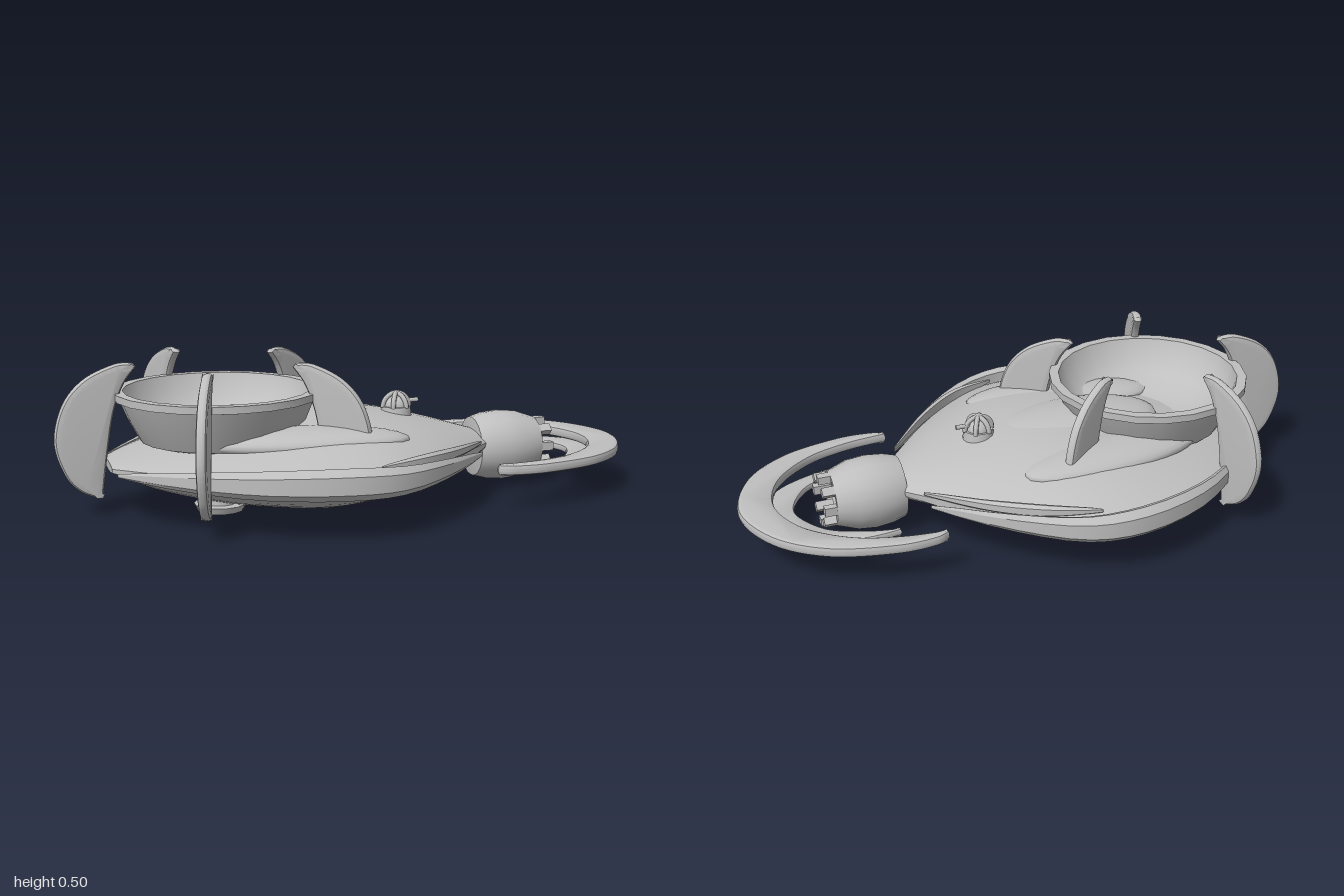
import * as THREE from 'three';
import { toCreasedNormals, mergeGeometries } from 'three/addons/utils/BufferGeometryUtils.js';

const V3 = (p) => new THREE.Vector3(...p);
const V2 = (p) => new THREE.Vector2(...p);

// Skin over closed rings of [x, y, z], capped at both ends
function loft(rings, crease = 0.6) {
  const n = rings[0].length, pos = rings.flat(2), idx = [];
  for (let i = 0; i < rings.length - 1; i++) {
    for (let j = 0; j < n; j++) {
      const a = i * n + j, b = i * n + (j + 1) % n;
      idx.push(a, a + n, b + n, a, b + n, b);
    }
  }
  const last = (rings.length - 1) * n;
  for (let j = 1; j < n - 1; j++) {
    idx.push(0, j, j + 1, last, last + j + 1, last + j);
  }
  const g = new THREE.BufferGeometry();
  g.setAttribute('position', new THREE.Float32BufferAttribute(pos, 3));
  g.setIndex(idx);
  return toCreasedNormals(g, crease);
}

// Lens-shaped hull: stations of x, half width, top and bottom height
function hullGeometry() {
  const st = [
    [-0.83, 0.1, 0.18, 0.15], [-0.7, 0.26, 0.21, 0.09], [-0.52, 0.42, 0.25, 0.045],
    [-0.35, 0.505, 0.28, 0.02], [-0.17, 0.535, 0.305, 0], [0, 0.51, 0.305, 0.02],
    [0.15, 0.42, 0.285, 0.05], [0.3, 0.29, 0.25, 0.085], [0.47, 0.1, 0.2, 0.11],
  ];
  const plan = new THREE.CatmullRomCurve3(st.map((s) => V3([s[0], s[1], 0])), false, 'catmullrom');
  const side = new THREE.CatmullRomCurve3(st.map((s) => V3([s[0], s[2], s[3]])), false, 'catmullrom');
  const rings = [], M = 16;
  for (let i = 0; i <= 32; i++) {
    const { x, y: w } = plan.getPoint(i / 32);
    const { y: top, z: bottom } = side.getPoint(i / 32);
    const half = 0.035 * w / 0.535, ring = [];
    for (let j = 0; j <= M; j++) {
      const t = Math.cos(Math.PI * j / M), e = 0.165 + half;
      ring.push([x, e + (top - e) * (1 - Math.abs(t) ** 2.3), w * t]);
    }
    for (let j = 0; j <= M; j++) {
      const t = -Math.cos(Math.PI * j / M), e = 0.165 - half;
      ring.push([x, e + (bottom - e) * (1 - t * t), w * t]);
    }
    rings.push(ring);
  }
  return loft(rings);
}

// Tapered rail following a path beside the hull
function railGeometry(points, height, width, sign) {
  const curve = new THREE.CatmullRomCurve3(points.map(V3));
  const rings = [];
  for (let i = 0; i <= 18; i++) {
    const p = curve.getPoint(i / 18), k = Math.sin(Math.PI * i / 18) ** 0.8;
    const h = 0.006 + height * k, w = 0.003 + width * k;
    const ring = [[w, 0.55 * h], [0, h], [-w, 0.8 * h], [-w, -0.8 * h], [0, -h], [w, -0.55 * h]]
      .map(([z, y]) => [p.x, p.y + y, sign * (p.z + z)]);
    rings.push(sign > 0 ? ring : ring.reverse());
  }
  return loft(rings, 0.5);
}

// Thin bevelled plate, centred on its thickness
function plateGeometry(shape, core, bevel, inset) {
  const g = new THREE.ExtrudeGeometry(shape, {
    depth: core, bevelEnabled: true, bevelThickness: bevel, bevelSize: inset,
    bevelOffset: -inset, bevelSegments: 2, curveSegments: 16,
  });
  g.translate(0, 0, -core / 2);
  return toCreasedNormals(g, 0.6);
}

function crescentShape(outer, inner) {
  const mirror = (half) => [...half, ...half.slice(0, -1).reverse().map(([x, z]) => [x, -z])];
  const s = new THREE.Shape();
  const o = mirror(outer), i = mirror(inner).reverse();
  s.moveTo(...o[0]);
  s.splineThru(o.slice(1).map(V2));
  s.lineTo(...i[0]);
  s.splineThru(i.slice(1).map(V2));
  s.closePath();
  return s;
}

export function createModel() {
  const model = new THREE.Group();
  const grey = new THREE.MeshStandardMaterial({ color: 0xbfbfbf, side: THREE.DoubleSide });
  grey.name = 'hull grey';
  const add = (name, geometry, x = 0, y = 0, z = 0) => {
    const m = new THREE.Mesh(geometry, grey);
    m.name = name;
    m.position.set(x, y, z);
    model.add(m);
    return m;
  };

  add('hull', hullGeometry());

  // Side rails, standing just off the hull edge
  for (const s of [1, -1]) {
    add('sideRail', railGeometry([
      [-0.82, 0.16, 0.15], [-0.62, 0.17, 0.35], [-0.42, 0.18, 0.5], [-0.18, 0.185, 0.58],
      [0, 0.18, 0.56], [0.2, 0.175, 0.43], [0.41, 0.16, 0.21],
    ], 0.045, 0.02, s));
    add('aftStrake', railGeometry([
      [-0.06, 0.215, 0.52], [0.1, 0.215, 0.46], [0.25, 0.205, 0.35], [0.42, 0.19, 0.17],
    ], 0.015, 0.012, s));
  }

  // Raised leaf-shaped humps on the deck
  for (const [x, z, length, width, turn] of [
    [-0.18, 0, 0.31, 0.16, 0], [-0.22, 0.24, 0.34, 0.12, -0.15], [-0.22, -0.24, 0.34, 0.12, 0.15],
  ]) {
    const g = new THREE.SphereGeometry(1, 28, 14);
    g.scale(length, z ? 0.05 : 0.06, width);
    add('deckHump', g, x, z ? 0.25 : 0.262, z).rotation.y = turn;
  }

  // Open dish
  const dish = new THREE.LatheGeometry([
    [0, 0.2], [0.14, 0.2], [0.26, 0.235], [0.3, 0.31], [0.325, 0.372], [0.345, 0.376], [0.345, 0.4],
    [0.312, 0.4], [0.295, 0.35], [0.25, 0.295], [0.18, 0.258], [0.1, 0.238], [0, 0.23],
  ].map(V2), 22);
  add('dish', toCreasedNormals(dish, 0.6), -0.46);

  // Five upright blades around the dish
  const blade = new THREE.Shape();
  blade.moveTo(0.39, 0.05);
  blade.splineThru([[0.46, 0.08], [0.51, 0.14], [0.54, 0.25], [0.51, 0.37], [0.44, 0.45], [0.34, 0.495], [0.28, 0.497]].map(V2));
  blade.lineTo(0.268, 0.485);
  blade.splineThru([[0.31, 0.43], [0.345, 0.34], [0.37, 0.2], [0.39, 0.05]].map(V2));
  const bladeGeometry = plateGeometry(blade, 0.008, 0.013, 0.02);
  for (let i = 0; i < 5; i++) {
    add('blade', bladeGeometry, -0.46).rotation.y = Math.PI + i * Math.PI * 0.4;
  }

  // Engine pod with a hollow nozzle
  const pod = new THREE.LatheGeometry([
    [0, 0.44], [0.105, 0.455], [0.118, 0.5], [0.124, 0.56], [0.118, 0.62], [0.092, 0.692],
    [0.076, 0.692], [0.076, 0.62], [0, 0.62],
  ].map(V2), 20);
  pod.rotateZ(-Math.PI / 2);
  add('enginePod', toCreasedNormals(pod, 0.6), 0, 0.14);
  for (let i = 0; i < 8; i++) {
    const g = new THREE.BoxGeometry(0.06, 0.026, 0.03);
    g.translate(0.703, 0.078, 0);
    g.rotateX(i * Math.PI / 4);
    add('nozzleTooth', g, 0, 0.14);
  }

  // Two crescents behind the engine
  const upper = plateGeometry(crescentShape(
    [[0.4, 0.365], [0.45, 0.388], [0.58, 0.388], [0.78, 0.33], [0.93, 0.2], [0.998, 0]],
    [[0.4, 0.355], [0.55, 0.335], [0.7, 0.28], [0.83, 0.16], [0.88, 0]],
  ), 0.008, 0.015, 0.012);
  const lower = plateGeometry(crescentShape(
    [[0.52, 0.238], [0.65, 0.245], [0.8, 0.19], [0.9, 0.1], [0.94, 0]],
    [[0.52, 0.228], [0.62, 0.205], [0.73, 0.155], [0.79, 0.08], [0.815, 0]],
  ), 0.006, 0.01, 0.01);
  for (const [name, g, y] of [['upperCrescent', upper, 0.139], ['lowerCrescent', lower, 0.105]]) {
    g.rotateX(Math.PI / 2);
    add(name, g, 0, y);
  }

  // Ribbed turret on the aft deck
  const core = new THREE.SphereGeometry(0.042, 16, 8, 0, Math.PI * 2, 0, Math.PI / 2);
  const skirt = new THREE.CylinderGeometry(0.05, 0.055, 0.04, 16);
  skirt.translate(0, -0.015, 0);
  add('turret', toCreasedNormals(mergeGeometries([core, skirt]), 0.6), 0.17, 0.298);
  for (let i = 0; i < 3; i++) {
    const rib = new THREE.TorusGeometry(0.048, 0.009, 6, 16, Math.PI);
    add('turretRib', rib, 0.17, 0.3).rotation.y = i * Math.PI / 3;
  }
  const barrel = new THREE.CylinderGeometry(0.008, 0.008, 0.05, 8);
  barrel.rotateZ(Math.PI / 2);
  add('turretBarrel', barrel, 0.225, 0.32);

  // Round landing pads under the hull
  for (const [x, y, z] of [[0.19, 0.045, 0], [-0.5, 0.05, 0.2], [-0.5, 0.05, -0.2]]) {
    const pad = new THREE.CylinderGeometry(0.085, 0.075, 0.022, 14);
    add('landingPad', toCreasedNormals(pad, 0.6), x, y, z);
    add('padStrut', new THREE.CylinderGeometry(0.045, 0.05, 0.07, 12), x, y + 0.04, z);
  }
  return model;
}
